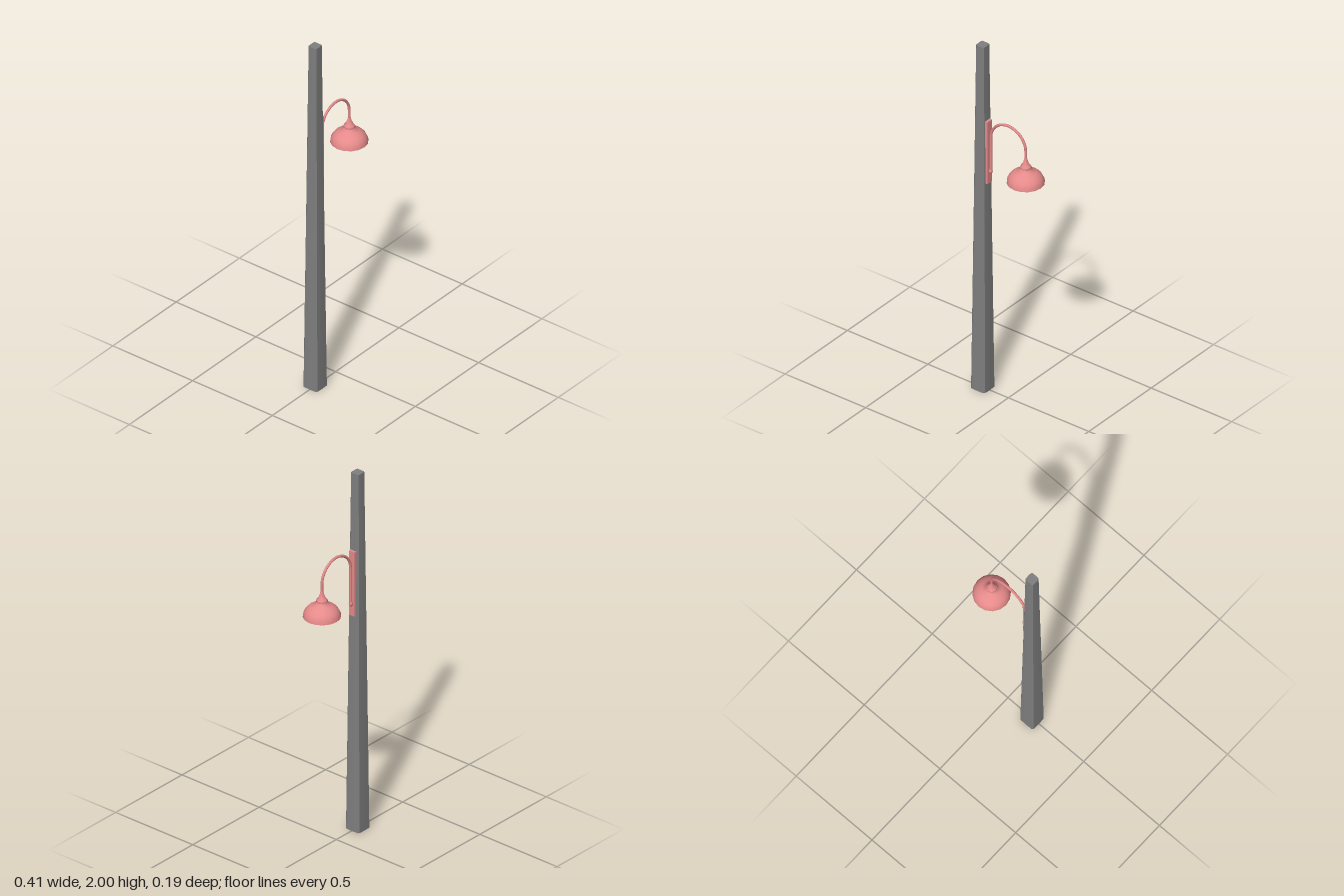
import * as THREE from 'three';
import { toCreasedNormals } from 'three/addons/utils/BufferGeometryUtils.js';

const mat = (color) => new THREE.MeshStandardMaterial({ color, side: THREE.DoubleSide });
const poleMat = mat(0x808080);
const metalMat = mat(0xe68a8a);
const bulbMat = mat(0x55b060);

const POLE_X = -0.16;
const LAMP_X = 0.108;

function addMesh(group, name, geometry, material, x = 0, y = 0, z = 0) {
  const mesh = new THREE.Mesh(geometry, material);
  mesh.name = name;
  mesh.position.set(x, y, z);
  group.add(mesh);
  return mesh;
}

// Tapered square post: bulging sides, clipped corners, open bottom and flat top
function poleGeometry() {
  const side = [[1, -0.86], [1.04, 0], [1, 0.86]];
  const ring = [];
  for (let k = 0; k < 4; k++) {
    const c = Math.round(Math.cos(k * Math.PI / 2)), s = Math.round(Math.sin(k * Math.PI / 2));
    for (const [a, b] of side) ring.push([a * c - b * s, a * s + b * c]);
  }
  const levels = [[0, 0.0435], [2, 0.0245]];
  const n = ring.length, pos = [], idx = [];
  for (const [y, h] of levels) for (const [a, b] of ring) pos.push(a * h, y, b * h);
  pos.push(0, 2, 0);
  for (let i = 0; i < n; i++) {
    const j = (i + 1) % n;
    idx.push(i, n + i, j, j, n + i, n + j);
    idx.push(2 * n, n + j, n + i);
  }
  const g = new THREE.BufferGeometry();
  g.setAttribute('position', new THREE.Float32BufferAttribute(pos, 3));
  g.setIndex(idx);
  return toCreasedNormals(g, 0.4);
}

const lathe = (points, sides, crease = 0.8) =>
  toCreasedNormals(new THREE.LatheGeometry(points.map(([r, y]) => new THREE.Vector2(r, y)), sides), crease);

export function createModel() {
  const model = new THREE.Group();
  model.name = 'streetLamp';

  addMesh(model, 'pole', poleGeometry(), poleMat, POLE_X, 0, -0.001);

  // Mounting plate against the side of the pole
  addMesh(model, 'mountPlate', new THREE.BoxGeometry(0.018, 0.36, 0.036), metalMat, -0.125, 1.39, 0);

  // Gooseneck arm: straight rise, half circle, short drop
  const path = new THREE.CurvePath();
  const v = (x, y) => new THREE.Vector3(x, y, 0);
  const bend = [];
  for (let i = 0; i <= 16; i++) {
    const a = Math.PI * (1 - i / 16);
    bend.push(v(LAMP_X * Math.cos(a), 1.48 + 0.106 * Math.sin(a)));
  }
  path.add(new THREE.LineCurve3(v(-LAMP_X, 1.28), bend[0]));
  for (let i = 0; i < 16; i++) path.add(new THREE.LineCurve3(bend[i], bend[i + 1]));
  path.add(new THREE.LineCurve3(bend[16], v(LAMP_X, 1.42)));
  addMesh(model, 'arm', new THREE.TubeGeometry(path, 60, 0.007, 8), metalMat);

  // Foot that joins the arm to the plate
  const foot = addMesh(model, 'armFoot', new THREE.SphereGeometry(0.011, 8, 6), metalMat, -0.11, 1.28, 0);
  foot.scale.y = 1.4;

  // Lamp head
  const head = new THREE.Group();
  head.name = 'lampHead';
  head.position.x = LAMP_X;
  model.add(head);

  addMesh(head, 'shade', lathe([
    [0.095, 1.302], [0.093, 1.318], [0.085, 1.335], [0.072, 1.35],
    [0.054, 1.362], [0.04, 1.368], [0.032, 1.378], [0.026, 1.388],
  ], 16), metalMat);
  addMesh(head, 'shadeCollar', lathe([
    [0.024, 1.378], [0.03, 1.386], [0.029, 1.395], [0.019, 1.406],
    [0.011, 1.425], [0.007, 1.442], [0, 1.442],
  ], 8), metalMat);
  addMesh(head, 'bulb', lathe([
    [0, 1.309], [0.028, 1.311], [0.041, 1.318], [0.045, 1.33], [0.042, 1.352], [0, 1.36],
  ], 12, 1.2), bulbMat);

  return model;
}
